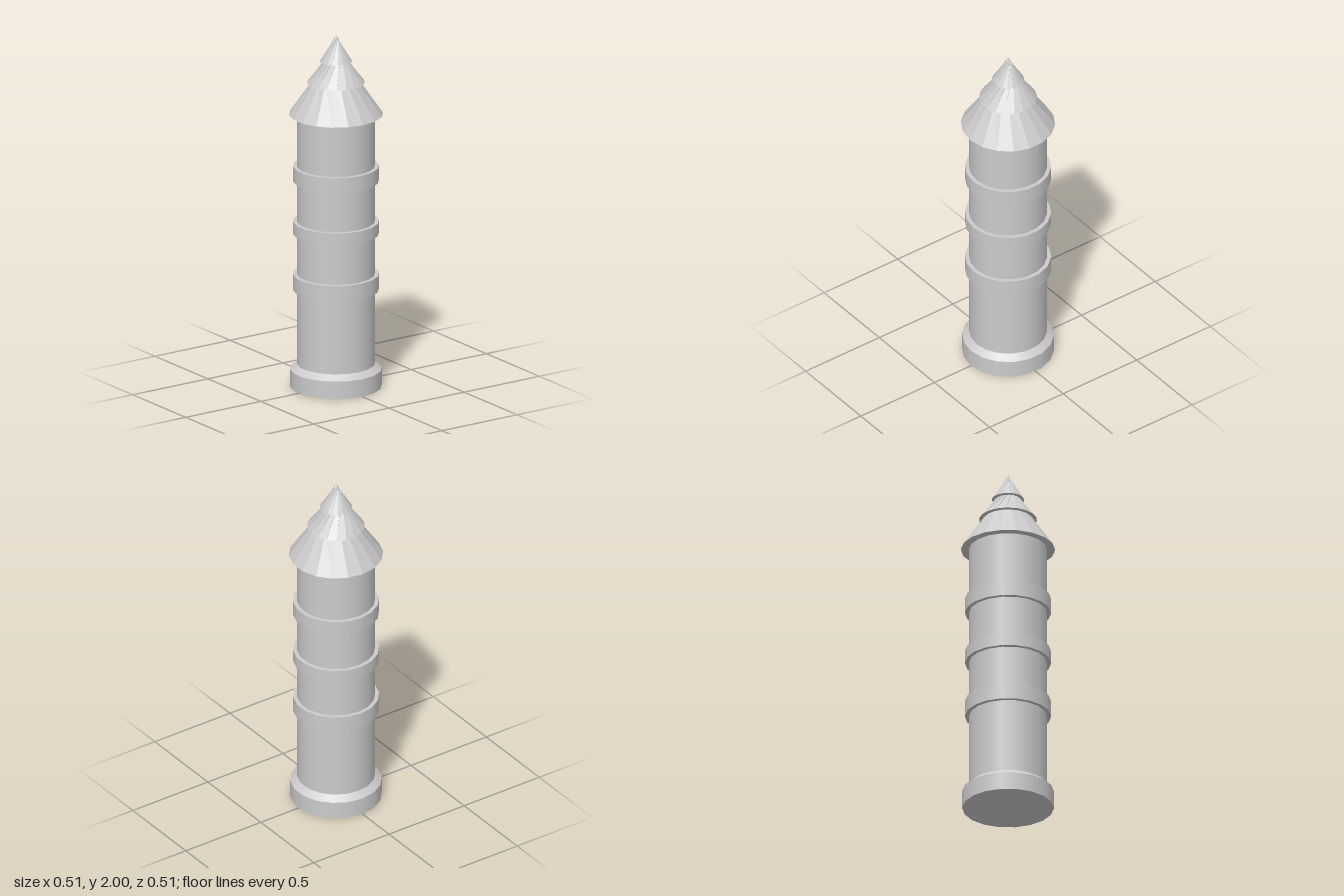
import * as THREE from 'three';

const SIDES = 18;
const smooth = new THREE.MeshStandardMaterial({ color: 0xcccccc });
const faceted = new THREE.MeshStandardMaterial({ color: 0xcccccc, flatShading: true, side: THREE.DoubleSide });

// Upright drum between two heights, with a corner on the x axis
function drum(name, y0, y1, r0, r1 = r0) {
  const geo = new THREE.CylinderGeometry(r1, r0, y1 - y0, SIDES, 1, false, Math.PI / 2);
  geo.translate(0, (y0 + y1) / 2, 0);
  const mesh = new THREE.Mesh(geo, smooth);
  mesh.name = name;
  return mesh;
}

// Conical roof tier whose upper ring is twisted against the lower one (degrees)
function twistedTier(name, { y0, r0, y1, r1, peak = y1, phase = 0, twist }) {
  const ringPoint = (r, y, degrees) => {
    const a = THREE.MathUtils.degToRad(degrees);
    return [r * Math.cos(a), y, -r * Math.sin(a)];
  };
  const step = 360 / SIDES;
  const positions = [];
  for (let k = 0; k < SIDES; k++) {
    const a = phase + k * step;
    const lowA = ringPoint(r0, y0, a), lowB = ringPoint(r0, y0, a + step);
    const topA = ringPoint(r1, y1, a + twist), topB = ringPoint(r1, y1, a + twist + step);
    positions.push(
      ...lowA, ...lowB, ...topB, // broad roof panel
      ...lowA, ...topB, ...topA, // narrow fold between panels
      ...topA, ...topB, 0, peak, 0, // cap
      ...lowB, ...lowA, 0, y0, 0, // underside
    );
  }
  const geo = new THREE.BufferGeometry();
  geo.setAttribute('position', new THREE.Float32BufferAttribute(positions, 3));
  geo.computeVertexNormals();
  const mesh = new THREE.Mesh(geo, faceted);
  mesh.name = name;
  return mesh;
}

export function createModel() {
  const tower = new THREE.Group();
  tower.name = 'tower';

  // Foot and shaft
  tower.add(drum('base', 0, 0.1, 0.25));
  tower.add(drum('baseBevel', 0.1, 0.13, 0.25, 0.213));
  tower.add(drum('shaft', 0.1, 1.56, 0.213));

  // Raised bands around the shaft
  [[0.55, 0.64], [0.87, 0.94], [1.17, 1.255]].forEach(([y0, y1], i) => {
    tower.add(drum(`band${i + 1}`, y0, y1, 0.235));
  });

  // Three stacked roof tiers
  tower.add(twistedTier('lowerRoof', { y0: 1.55, r0: 0.257, y1: 1.75, r1: 0.12, twist: -24 }));
  tower.add(twistedTier('middleRoof', { y0: 1.73, r0: 0.158, y1: 1.92, r1: 0.03, phase: 6, twist: 66 }));
  tower.add(twistedTier('upperRoof', { y0: 1.85, r0: 0.088, y1: 1.98, r1: 0.0125, peak: 2, phase: 12, twist: 55 }));

  return tower;
}
